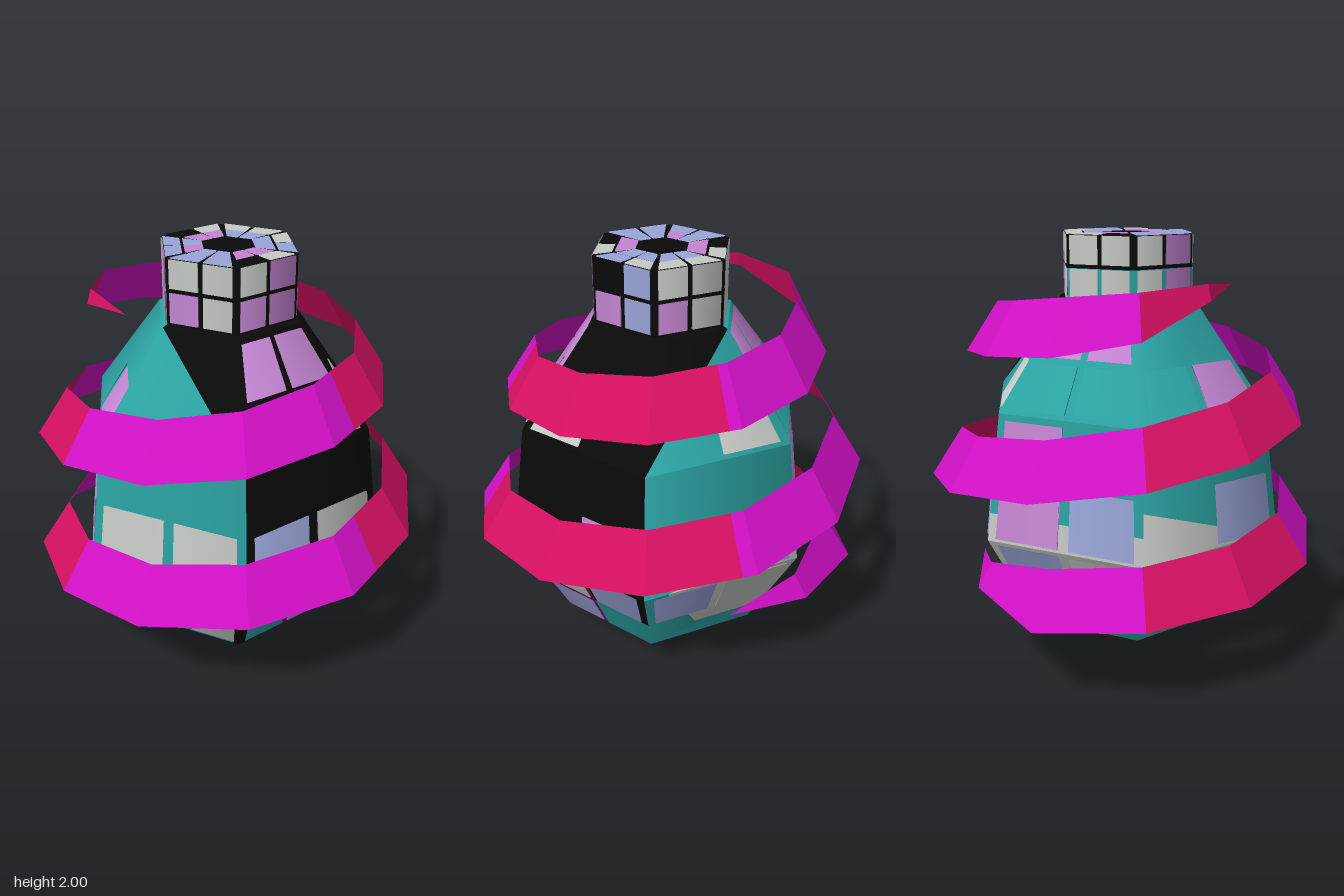
import * as THREE from 'three';

const mat = (name, color, side = THREE.FrontSide) => {
  const m = new THREE.MeshStandardMaterial({ color, side });
  m.name = name;
  return m;
};

export function createModel() {
  const model = new THREE.Group();
  model.name = 'mosaicVase';
  const M = {
    K: mat('black', 0x0a0a0a), T: mat('teal', 0x2ca3a3), W: mat('paleGrey', 0xc6cac5),
    L: mat('lavender', 0x9aa5d8), P: mat('orchid', 0xc486d2), U: mat('plum', 0x7c0066),
    M: mat('magenta', 0xd210c6, THREE.DoubleSide), C: mat('crimson', 0xd61062, THREE.DoubleSide),
  };

  // Patches are gathered by part and colour, then made into one mesh each
  const bins = new Map();
  const push = (part, colour, pts, normals) => {
    const key = part + '|' + colour;
    if (!bins.has(key)) bins.set(key, { part, colour, pos: [], nor: [] });
    const b = bins.get(key);
    for (let i = 1; i < pts.length - 1; i++)
      for (const j of [0, i, i + 1]) {
        b.pos.push(...pts[j].toArray());
        b.nor.push(...normals[j].toArray());
      }
  };

  // Hexagonal plan: face 0 is the front, u runs left to right along a face
  const CZ = 0.02;
  const dir = (face, u) => {
    const c = k => new THREE.Vector3(Math.sin((k - 0.5) * Math.PI / 3), 0, Math.cos((k - 0.5) * Math.PI / 3));
    return c(face).lerp(c(face + 1), u);
  };
  const at = (face, u, r, y) => dir(face, u).multiplyScalar(r).add(new THREE.Vector3(0, y, CZ));

  // Vase profile: corner radius and height
  const profile = [[0, 0], [0.53, 0.18], [0.775, 0.645], [0.695, 1.23], [0.35, 1.69], [0.327, 1.7], [0.327, 1.995]];
  const bandOf = y => {
    let b = 0;
    while (b < profile.length - 2 && y > profile[b + 1][1]) b++;
    return b;
  };
  const radius = (b, y) => {
    const [r0, y0] = profile[b], [r1, y1] = profile[b + 1];
    return r0 + (r1 - r0) * (y - y0) / (y1 - y0);
  };
  const wallNormal = (b, face, u) => {
    const dr = profile[b + 1][0] - profile[b][0], dy = profile[b + 1][1] - profile[b][1];
    const n = dir(face, u).normalize().multiplyScalar(dy);
    n.y = -dr;
    return n.normalize();
  };

  // Base wall patch: polygon in (u, t), t being the height fraction of the band
  const wall = (part, colour, face, b, poly) => {
    const y0 = profile[b][1], y1 = profile[b + 1][1];
    push(part, colour,
      poly.map(([u, t]) => at(face, u, radius(b, y0 + t * (y1 - y0)), y0 + t * (y1 - y0))),
      poly.map(([u]) => wallNormal(b, face, u)));
  };
  const box = (u0, t0, u1, t1) => [[u0, t0], [u1, t0], [u1, t1], [u0, t1]];

  // Plain wall colours: one letter per face for each band
  ['TTTTTT', '------', 'KK---T', 'KK-TT-', 'KKKTTK', 'KKK--K'].forEach((row, b) => {
    [...row].forEach((c, f) => {
      if (c !== '-') wall(b > 3 ? 'neck' : 'body', c, f, b, box(0, 0, 1, 1));
    });
  });
  // Walls shared by two or three colours
  const split = (f, b, ...list) => list.forEach(([c, poly]) => wall(b > 3 ? 'neck' : 'body', c, f, b, poly));
  split(0, 1, ['K', box(0, 0, 0.46, 1)], ['U', box(0.46, 0, 1, 0.95)], ['K', box(0.46, 0.95, 1, 1)]);
  split(1, 1, ['U', box(0, 0, 0.5, 0.9)], ['T', box(0.5, 0, 1, 0.45)], ['K', box(0.5, 0.45, 1, 0.9)], ['K', box(0, 0.9, 1, 1)]);
  split(2, 1, ['T', [[0, 0], [1, 0], [1, 0.25], [0.4, 0.25], [0.15, 1], [0, 1]]], ['W', [[0.4, 0.25], [1, 0.25], [1, 1], [0.15, 1]]]);
  split(3, 1, ['T', box(0, 0, 1, 0.3)], ['W', box(0, 0.3, 1, 1)]);
  split(4, 1, ['T', [[0, 0], [1, 0], [1, 1], [0, 0.3]]], ['W', [[0, 0.3], [1, 1], [0, 1]]]);
  split(5, 1, ['T', box(0, 0, 0.94, 1)], ['K', box(0.94, 0, 1, 1)]);
  split(2, 2, ['W', [[0.15, 0], [1, 0], [1, 0.25]]], ['T', [[0, 0], [0.15, 0], [1, 0.25], [1, 1], [0, 1]]]);
  split(3, 2, ['W', box(0, 0, 1, 0.22)], ['T', box(0, 0.22, 1, 1)]);
  split(4, 2, ['W', [[0, 0], [0.9, 0], [0, 0.4]]], ['T', [[0.9, 0], [1, 0], [1, 1], [0, 1], [0, 0.4]]]);
  split(2, 3, ['T', [[0, 0], [1, 0], [1, 1]]], ['K', [[0, 0], [1, 1], [0, 1]]]);
  split(5, 3, ['T', [[0, 0], [1, 0], [0, 1]]], ['K', [[1, 0], [1, 1], [0, 1]]]);
  for (const f of [3, 4]) split(f, 5, ['T', box(0, 0, 1, 0.5)], ['K', box(0, 0.5, 1, 1)]);

  // Raised tile: front plate plus a thin rim down to the wall
  const plate = (part, colour, front, back, normals) => {
    push(part, colour, front, normals);
    front.forEach((p, i) => {
      const j = (i + 1) % front.length;
      push(part, colour, [back[i], back[j], front[j], front[i]], [normals[i], normals[j], normals[j], normals[i]]);
    });
  };
  const columns = [[0.06, 0.465], [0.535, 0.94]];

  // Mosaic rows: two letters per face, front first and round by the +x side
  const rows = [
    [0.07, 0.165, '.P P. .. .. .. ..'],
    [0.20, 0.37, 'TL LT .. .. .. .W'],
    [0.40, 0.625, 'LW WL LW LW .. WT'],
    [0.66, 0.93, 'LW .P .L PL .L WW'],
    [0.96, 1.20, '.. .. .. P. .. ..'],
    [1.25, 1.44, 'PP W. .W TT TP ..'],
    [1.47, 1.67, 'PP .. .. PP .. ..'],
    [1.71, 1.845, 'PP PL PW WW WP PW'],
    [1.865, 1.992, 'WP .L WW WW WP WW'],
  ];
  for (const [y0, y1, code] of rows) {
    const b = bandOf((y0 + y1) / 2);
    code.split(' ').forEach((pair, f) => columns.forEach(([u0, u1], c) => {
      if (pair[c] === '.') return;
      const poly = box(u0, y0, u1, y1);
      const pts = off => poly.map(([u, y]) => at(f, u, radius(b, y) + off, y));
      plate(b > 3 ? 'neckTiles' : 'bodyTiles', pair[c], pts(0.007), pts(0), poly.map(([u]) => wallNormal(b, f, u)));
    }));
  }

  // Flat cap with two rings of tiles
  const up = Array(4).fill(new THREE.Vector3(0, 1, 0));
  for (let f = 0; f < 6; f++)
    push('cap', 'K', [at(f, 0, 0.327, 1.995), at(f, 1, 0.327, 1.995), at(f, 0, 0, 1.995)], up);
  for (const [r0, r1, code] of [[0.325, 0.24, '.W LW WW WK LL LL'], [0.225, 0.13, 'PP LL LL PP LP LL']])
    code.split(' ').forEach((pair, f) => columns.forEach(([u0, u1], c) => {
      if (pair[c] === '.') return;
      const pts = y => box(u0, r0, u1, r1).map(([u, r]) => at(f, u, r, y));
      plate('capTiles', pair[c], pts(2), pts(1.995), up);
    }));

  // Spiral ribbon: lower edge by quarter turns, starting at the back towards -x
  const ringR = [0.94, 0.93, 0.95, 0.93, 0.94, 0.87, 0.77, 0.75, 0.73, 0.53];
  const ringY = [0.40, 0.51, 0.66, 0.80, 0.97, 1.17, 1.32, 1.42, 1.53, 1.66];
  // Tapered ends: lower radius and height, upper radius and height
  const ends = {
    '-2': [0.70, 0.455, 0.70, 0.455], '-1': [0.82, 0.43, 0.75, 0.54],
    25: [0.71, 1.60, 0.63, 1.79], 26: [0.62, 1.74, 0.60, 1.81], 27: [0.52, 1.78, 0.52, 1.78],
  };
  const rib = i => {
    let e = ends[i];
    if (!e) {
      const q = Math.min(8, Math.floor(i / 3)), t = i / 3 - q;
      const r = THREE.MathUtils.lerp(ringR[q], ringR[q + 1], t), y = THREE.MathUtils.lerp(ringY[q], ringY[q + 1], t);
      e = [r, y, r - 0.15, y + 0.23];
    }
    const a = i * Math.PI / 6, s = -Math.sin(a), c = -Math.cos(a);
    return [new THREE.Vector3(s * e[0], e[1], c * e[0]), new THREE.Vector3(s * e[2], e[3], c * e[2])];
  };
  const cuts = [30, 90, 192, 296];
  for (let i = -2; i < 27; i++) {
    const [a0, a1] = rib(i), [b0, b1] = rib(i + 1);
    const start = (i * 30 + 360) % 360;
    const stops = [0, ...cuts.map(c => (c - start) / 30).filter(t => t > 0 && t < 1), 1];
    for (let k = 0; k < stops.length - 1; k++) {
      const [s, t] = [stops[k], stops[k + 1]];
      const mid = start + 15 * (s + t);
      const red = (mid > cuts[0] && mid < cuts[1]) || (mid > cuts[2] && mid < cuts[3]);
      const pts = [a0.clone().lerp(b0, s), a0.clone().lerp(b0, t), a1.clone().lerp(b1, t), a1.clone().lerp(b1, s)];
      const n = pts[2].clone().sub(pts[0]).cross(pts[3].clone().sub(pts[1])).normalize();
      push('spiralRibbon', red ? 'C' : 'M', pts, [n, n, n, n]);
    }
  }

  // One mesh per part and colour, grouped by part
  const groups = {};
  for (const { part, colour, pos, nor } of bins.values()) {
    if (!groups[part]) {
      groups[part] = new THREE.Group();
      groups[part].name = part;
      model.add(groups[part]);
    }
    const g = new THREE.BufferGeometry();
    g.setAttribute('position', new THREE.Float32BufferAttribute(pos, 3));
    g.setAttribute('normal', new THREE.Float32BufferAttribute(nor, 3));
    const mesh = new THREE.Mesh(g, M[colour]);
    mesh.name = part + ' ' + M[colour].name;
    groups[part].add(mesh);
  }
  return model;
}
